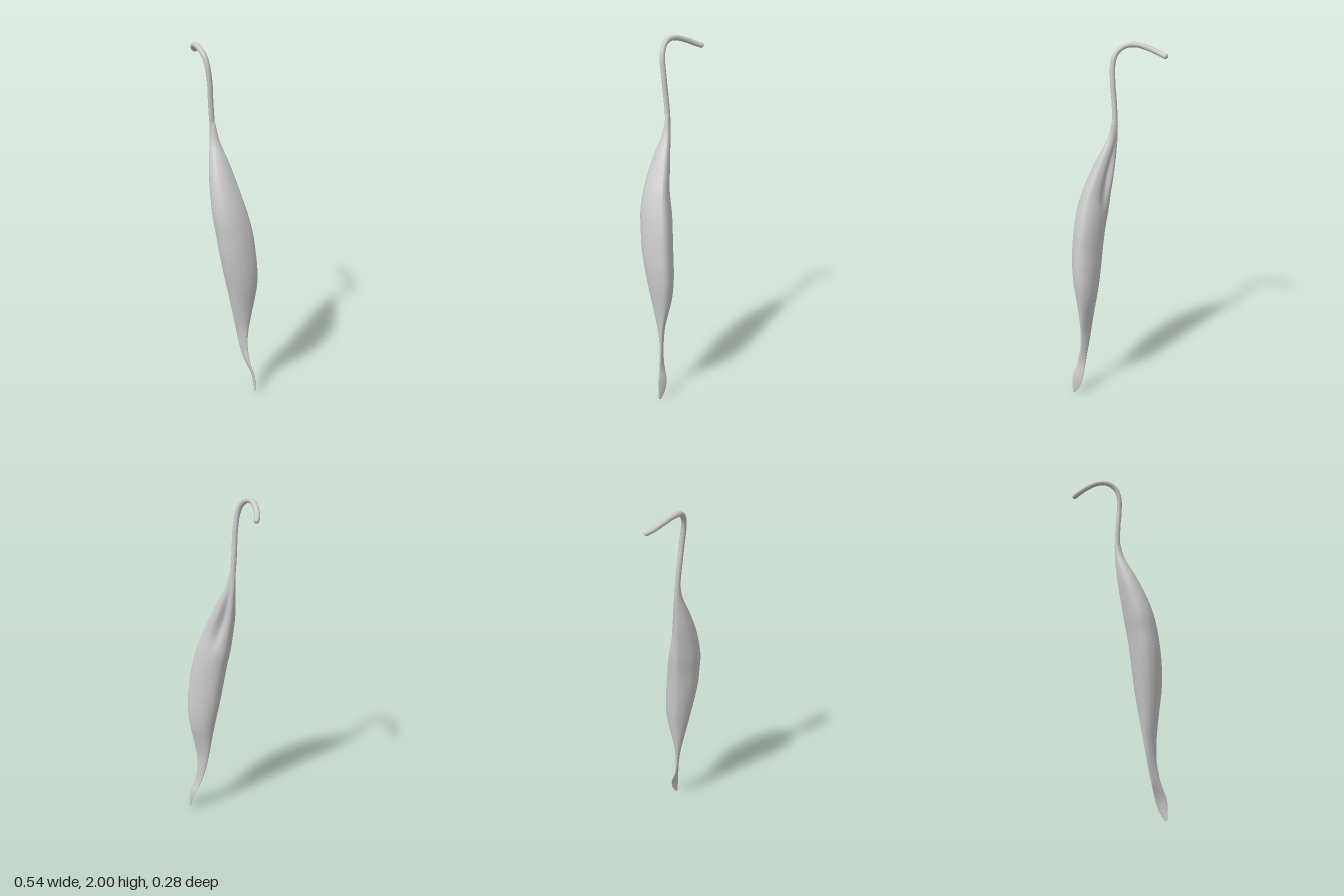
import * as THREE from 'three';

const material = new THREE.MeshStandardMaterial({ color: 0xcccccc, side: THREE.DoubleSide });
const lerp = THREE.MathUtils.lerp;

// Cross-sections from top to bottom:
// [y, left x, right x, z of left edge, z of right edge, front bulge, back bulge]
const sections = [
  [1.62, -0.04, -0.04, 0.018, 0.018, 0, 0],
  [1.60, -0.053, -0.022, 0.016, 0.016, 0.01, 0.01],
  [1.50, -0.05, 0.005, 0.012, 0.012, 0.028, 0.016],
  [1.40, -0.042, 0.06, 0.015, 0.01, 0.063, 0.024],
  [1.30, -0.03, 0.11, 0.018, 0.01, 0.092, 0.032],
  [1.20, -0.012, 0.155, 0.02, 0.008, 0.112, 0.037],
  [1.10, 0.006, 0.19, 0.02, 0.0, 0.127, 0.047],
  [1.00, 0.028, 0.215, 0.02, -0.008, 0.126, 0.052],
  [0.90, 0.045, 0.23, 0.018, -0.012, 0.122, 0.055],
  [0.80, 0.06, 0.24, 0.015, -0.016, 0.11, 0.058],
  [0.70, 0.076, 0.24, 0.01, -0.02, 0.095, 0.055],
  [0.60, 0.094, 0.228, 0.008, -0.018, 0.074, 0.046],
  [0.50, 0.11, 0.215, 0.008, -0.01, 0.049, 0.028],
  [0.40, 0.126, 0.205, 0.008, 0.0, 0.024, 0.014],
  [0.30, 0.146, 0.205, 0.006, 0.004, 0.011, 0.01],
  [0.20, 0.175, 0.225, -0.006, 0.006, 0.009, 0.008],
  [0.12, 0.207, 0.258, -0.028, 0.006, 0.009, 0.008],
  [0.06, 0.228, 0.264, -0.028, 0.004, 0.007, 0.006],
  [0.01, 0.25, 0.262, -0.01, 0.002, 0.005, 0.004],
  [0.0, 0.256, 0.256, -0.003, -0.003, 0, 0],
];

// Smooth loft through the cross-sections, closed at both tips
function bellyGeometry(rows = 120, sides = 48) {
  const column = (a, b, c) => new THREE.CatmullRomCurve3(
    sections.map((s) => new THREE.Vector3(s[a], s[b], s[c])), false, 'catmullrom', 0.5);
  const widths = column(0, 1, 2), edges = column(3, 4, 0), bulges = column(5, 6, 0);
  const position = [], index = [];
  for (let i = 0; i <= rows; i++) {
    const t = i / rows;
    const { x: y, y: left, z: right } = widths.getPoint(t);
    const edge = edges.getPoint(t), bulge = bulges.getPoint(t);
    // Hollow along the upper back, fading above and below
    const hollow = 0.03 * Math.exp(-(((y - 1.3) / 0.13) ** 2));
    for (let j = 0; j < sides; j++) {
      const a = (j / sides) * Math.PI * 2, s = Math.sin(a);
      const u = (1 - Math.cos(a)) / 2;
      let depth = s * (s > 0 ? bulge.x : bulge.y);
      if (s > 0) depth *= 1 + 0.012 * Math.sin(u * 40 + y * 3); // faint fibre furrows
      else depth += hollow * Math.exp(-(((u - 0.35) / 0.16) ** 2)) * -s;
      position.push(lerp(left, right, u), y, lerp(edge.x, edge.y, u) + depth);
      if (i < rows) {
        const k = (j + 1) % sides, p = i * sides, q = p + sides;
        index.push(p + j, q + j, q + k, p + j, q + k, p + k);
      }
    }
  }
  const geometry = new THREE.BufferGeometry();
  geometry.setAttribute('position', new THREE.Float32BufferAttribute(position, 3));
  geometry.setIndex(index);
  geometry.computeVertexNormals();
  return geometry;
}

export function createModel() {
  const group = new THREE.Group();
  const add = (name, geometry) => {
    const mesh = new THREE.Mesh(geometry, material);
    mesh.name = name;
    group.add(mesh);
    return mesh;
  };

  // Belly running down into the flat lower tendon
  add('muscleBelly', bellyGeometry());

  // Upper tendon: rises, then hooks over to the right and back
  const path = new THREE.CatmullRomCurve3([
    [-0.035, 1.53, 0.014], [-0.038, 1.6, 0.017], [-0.039, 1.7, 0.026], [-0.036, 1.8, 0.036],
    [-0.045, 1.9, 0.046], [-0.068, 1.95, 0.044], [-0.11, 1.98, 0.031], [-0.16, 1.986, 0.0],
    [-0.21, 1.968, -0.048], [-0.245, 1.945, -0.095], [-0.258, 1.935, -0.122],
  ].map((p) => new THREE.Vector3(...p)));
  add('upperTendon', new THREE.TubeGeometry(path, 90, 0.0145, 16));

  // Rounded tip of the hook
  const tip = add('tendonTip', new THREE.SphereGeometry(0.0145, 16, 12));
  tip.position.copy(path.getPoint(1));
  return group;
}
